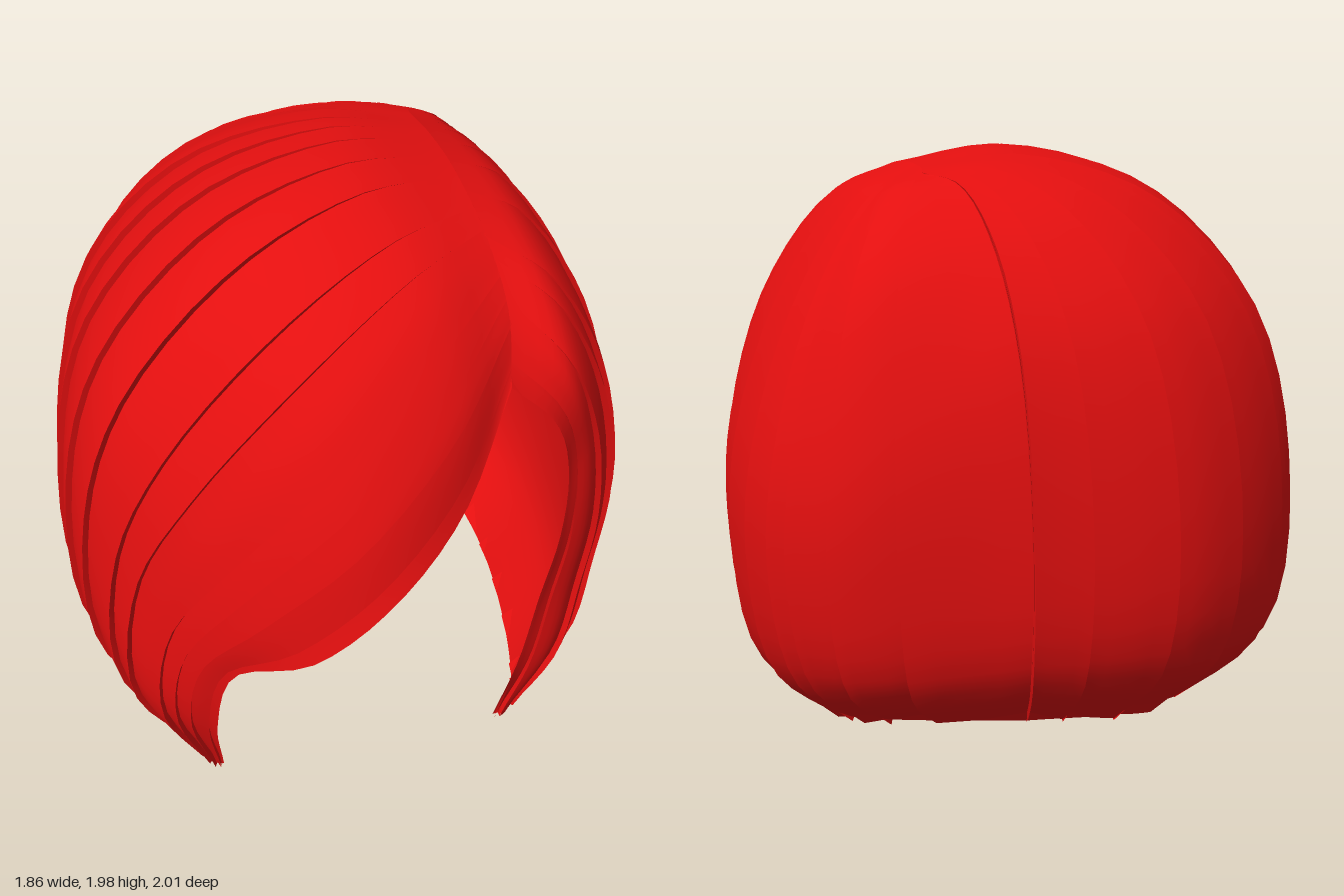
import * as THREE from 'three';

// Guide strands, each running from the parting down to the curled-under hem.
const backStrand = [[.33, 1.91, -.38], [.25, 1.88, -.52], [.2, 1.72, -.74], [.17, 1.42, -.92], [.15, .92, -.99], [.14, .5, -.94], [.1, .3, -.74]];

const sweptFringe = [
  [[.39, 1.5, .73], [.22, 1.2, .9], [0, .97, .99], [-.22, .76, .96], [-.44, .61, .81], [-.5, .3, .72], [-.48, .02, .63]],
  [[.4, 1.68, .62], [.2, 1.5, .84], [-.1, 1.22, .97], [-.38, .93, .91], [-.56, .65, .79], [-.6, .35, .72], [-.51, .02, .62]],
  [[.38, 1.82, .45], [.13, 1.77, .67], [-.2, 1.55, .83], [-.5, 1.2, .81], [-.68, .85, .71], [-.72, .4, .66], [-.56, .06, .57]],
];
const rightSide = [
  [[.35, 1.92, .15], [0, 1.96, .3], [-.38, 1.82, .42], [-.72, 1.45, .47], [-.86, 1, .46], [-.84, .45, .42], [-.6, .13, .38]],
  [[.33, 1.94, -.1], [-.02, 1.99, -.05], [-.45, 1.86, -.02], [-.78, 1.52, 0], [-.91, 1.05, .02], [-.88, .46, .02], [-.62, .14, 0]],
  [[.32, 1.93, -.25], [0, 1.96, -.3], [-.38, 1.83, -.42], [-.68, 1.5, -.52], [-.8, 1, -.56], [-.77, .47, -.52], [-.53, .19, -.38]],
  [[.32, 1.92, -.33], [.1, 1.93, -.43], [-.12, 1.79, -.64], [-.3, 1.48, -.84], [-.38, .95, -.93], [-.36, .5, -.88], [-.26, .25, -.65]],
];
const leftSide = [
  [[.39, 1.5, .73], [.53, 1.37, .73], [.62, 1.13, .66], [.63, .85, .63], [.59, .58, .61], [.54, .3, .61], [.47, .05, .6]],
  [[.4, 1.68, .62], [.56, 1.52, .72], [.67, 1.25, .68], [.72, .9, .63], [.7, .6, .6], [.65, .3, .6], [.53, .05, .58]],
  [[.38, 1.82, .45], [.55, 1.72, .54], [.73, 1.42, .52], [.83, 1, .49], [.82, .65, .46], [.76, .31, .46], [.58, .09, .44]],
  [[.35, 1.92, .15], [.52, 1.85, .13], [.74, 1.55, .13], [.88, 1.12, .13], [.9, .77, .13], [.83, .36, .12], [.62, .16, .1]],
  [[.33, 1.94, -.1], [.51, 1.85, -.18], [.72, 1.54, -.25], [.87, 1.12, -.3], [.9, .78, -.3], [.83, .39, -.28], [.62, .19, -.25]],
  [[.32, 1.93, -.25], [.48, 1.84, -.36], [.66, 1.55, -.5], [.79, 1.13, -.59], [.82, .78, -.59], [.75, .42, -.55], [.57, .23, -.43]],
  [[.32, 1.92, -.33], [.43, 1.85, -.47], [.55, 1.59, -.69], [.62, 1.15, -.82], [.63, .78, -.83], [.58, .45, -.77], [.44, .27, -.58]],
];

const ROWS = 26;
const STEPS = 4;
const RAISED = .012, TUCKED = -.008, LINING = -.035;
const curveThrough = (pts) => new THREE.CatmullRomCurve3(pts);

function makeRandom(seed) {
  return () => (seed = (seed * 16807) % 2147483647) / 2147483647;
}

// Rows of curves running front to back across the guide strands.
function sheetRows(strands) {
  const guides = strands.map((s) => curveThrough(s.map((p) => new THREE.Vector3(...p))));
  return Array.from({ length: ROWS + 1 }, (_, j) => curveThrough(guides.map((g) => g.getPoint(j / ROWS))));
}

function normalAt(rows, u, j, flip) {
  const a = rows[j].getPoint(Math.min(u + .01, 1)).sub(rows[j].getPoint(Math.max(u - .01, 0)));
  const b = rows[Math.min(j + 1, ROWS)].getPoint(u).sub(rows[Math.max(j - 1, 0)].getPoint(u));
  return a.cross(b).normalize().multiplyScalar(flip ? -1 : 1);
}

// Lofts columns at the given u values; place(point, normal, column, v) shifts each vertex.
function loft(rows, us, flip, reversed, place) {
  const positions = [], indices = [], n = us.length;
  for (let j = 0; j <= ROWS; j++) {
    us.forEach((u, i) => {
      const p = rows[j].getPoint(u);
      place(p, normalAt(rows, u, j, flip), i, j / ROWS);
      positions.push(p.x, p.y, p.z);
      if (j === ROWS || i === n - 1) return;
      const a = j * n + i, b = a + 1, c = a + n, d = c + 1;
      if (flip !== reversed) indices.push(a, c, b, b, c, d);
      else indices.push(a, b, c, b, d, c);
    });
  }
  const geometry = new THREE.BufferGeometry();
  geometry.setAttribute('position', new THREE.Float32BufferAttribute(positions, 3));
  geometry.setIndex(indices);
  geometry.computeVertexNormals();
  return geometry;
}

// One side of the hair: stepped locks outside, smooth lining inside.
function hairSide(name, strands, lockCount, flip, material, seed) {
  const group = new THREE.Group();
  group.name = name;
  const random = makeRandom(seed);
  const rows = sheetRows(strands);
  const add = (part, geometry) => {
    const mesh = new THREE.Mesh(geometry, material);
    mesh.name = name + part;
    group.add(mesh);
  };

  // Lock borders of uneven width
  const borders = [0];
  for (let k = 1; k < lockCount; k++) borders.push((k + (random() - .5) * .7) / lockCount);
  borders.push(1);

  for (let k = 0; k < lockCount; k++) {
    const us = [], offsets = [];
    for (let i = 0; i <= STEPS; i++) {
      us.push(THREE.MathUtils.lerp(borders[k], borders[k + 1], i / STEPS));
      offsets.push(THREE.MathUtils.lerp(RAISED, TUCKED, i / STEPS));
    }
    // Riser that closes the step up to the next lock
    us.push(borders[k + 1], borders[k + 1]);
    offsets.push(TUCKED, RAISED);
    const trim = random() * .018;
    add('Lock' + (k + 1), loft(rows, us, flip, false, (p, normal, i, v) => {
      p.addScaledVector(normal, offsets[i] * THREE.MathUtils.smoothstep(v, .08, .4));
      if (v === 1) p.y += trim - .006;
    }));
  }

  // Lining tapers to meet the parting, hem and front edge
  const us = Array.from({ length: 41 }, (_, i) => i / 40);
  add('Lining', loft(rows, us, flip, true, (p, normal, i, v) => {
    p.addScaledVector(normal, LINING * Math.min(1, v * 5, (1 - v) * 8, us[i] * 12));
  }));
  return group;
}

export function createModel() {
  const model = new THREE.Group();
  model.name = 'bobHair';
  const red = new THREE.MeshStandardMaterial({ color: 0xe30f0f, side: THREE.DoubleSide });
  red.name = 'hairRed';

  model.add(
    hairSide('rightHair', [...sweptFringe, ...rightSide, backStrand], 17, false, red, 11),
    hairSide('leftHair', [...leftSide, backStrand], 13, true, red, 29),
  );
  return model;
}
